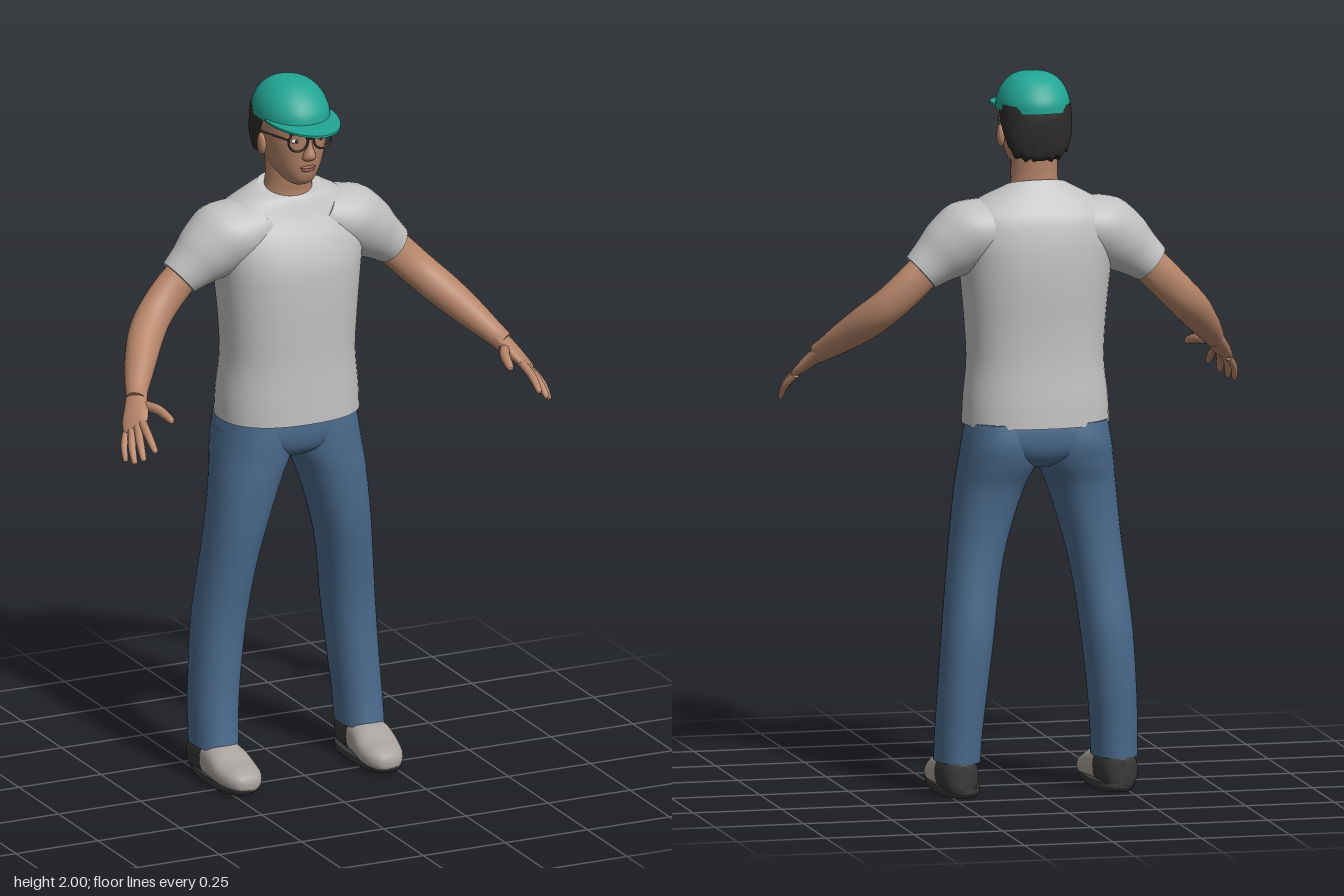
import * as THREE from 'three';

const mat = (name, color) => { const m = new THREE.MeshStandardMaterial({ color }); m.name = name; return m; };
const V = (x, y, z) => new THREE.Vector3(x, y, z);

// Smooth interpolation through a list of numeric rows
function smoothRows(rows, steps) {
  const out = [], last = rows.length - 1;
  for (let k = 0; k < last; k++) {
    const [a, b, c, d] = [k - 1, k, k + 1, k + 2].map(i => rows[Math.min(last, Math.max(0, i))]);
    for (let s = 0; s < steps; s++) {
      const t = s / steps;
      out.push(b.map((p, i) => p + 0.5 * t * (c[i] - a[i] + t * (2 * a[i] - 5 * p + 4 * c[i] - d[i] + t * (3 * (p - c[i]) + d[i] - a[i])))));
    }
  }
  out.push(rows[last]);
  return out;
}

// Closed loft; rows are [x, y, z, radius along u, radius along v, tilt]
function loft(rows, { u = V(1, 0, 0), v = V(0, 0, 1), p = 2, n = 32, steps = 5 } = {}) {
  const rings = smoothRows(rows.map(r => [...r, 0].slice(0, 6)), steps);
  const pos = [], idx = [];
  const first = V(...rings[0]), end = V(...rings[rings.length - 1]);
  const flip = u.clone().cross(v).dot(end.clone().sub(first)) < 0;
  const tri = (a, b, c) => flip ? idx.push(a, c, b) : idx.push(a, b, c);
  const bend = x => Math.sign(x) * Math.abs(x) ** (2 / p);
  const ring = r => {
    for (let i = 0; i < n; i++) {
      const t = i / n * Math.PI * 2, c = bend(Math.cos(t)), s = bend(Math.sin(t));
      const q = V(r[0], r[1], r[2]).addScaledVector(u, r[3] * c).addScaledVector(v, r[4] * s);
      pos.push(q.x, q.y + r[5] * s, q.z);
    }
  };
  rings.forEach(ring);
  for (let j = 0; j < rings.length - 1; j++) for (let i = 0; i < n; i++) {
    const a = j * n + i, b = j * n + (i + 1) % n;
    tri(a, b, b + n); tri(a, b + n, a + n);
  }
  // end caps with their own vertices
  [rings[0], rings[rings.length - 1]].forEach((r, e) => {
    const start = pos.length / 3;
    ring(r);
    pos.push(r[0], r[1], r[2]);
    for (let i = 0; i < n; i++) {
      const a = start + i, b = start + (i + 1) % n;
      e ? tri(a, b, start + n) : tri(b, a, start + n);
    }
  });
  const g = new THREE.BufferGeometry();
  g.setAttribute('position', new THREE.Float32BufferAttribute(pos, 3));
  g.setIndex(idx);
  g.computeVertexNormals();
  return g;
}

// Upright loft; rows are [y, x, half width, front z, back z, tilt]
const stack = (rows, opt) => loft(rows.map(([y, x, a, f, b, t = 0]) => [x, y, (f + b) / 2, a, (f - b) / 2, t]), opt);

export function createModel() {
  const group = new THREE.Group();
  const skin = mat('skin', 0xb58468), shirt = mat('shirt grey', 0xc2c2c2), denim = mat('denim blue', 0x4a6a8c);
  const teal = mat('cap teal', 0x22a594), hair = mat('hair black', 0x2e2c2b), shoe = mat('shoe grey', 0xa8a29e);
  const rubber = mat('sole black', 0x383838), white = mat('eye white', 0xddd5cc), lip = mat('lip', 0x99604f);
  const add = (name, geo, m, x = 0, y = 0, z = 0) => {
    const mesh = new THREE.Mesh(geo, m);
    mesh.name = name; mesh.position.set(x, y, z); group.add(mesh);
    return mesh;
  };
  const ball = (name, m, p, s) => add(name, new THREE.SphereGeometry(1, 20, 14), m, ...p).scale.set(...s);

  // T-shirt body with a scooped collar
  add('shirtBody', stack([
    [1.03, 0, .203, .037, -.268], [1.1, 0, .2, .036, -.265], [1.2, 0, .19, .035, -.258], [1.3, 0, .194, .038, -.258],
    [1.4, 0, .203, .04, -.263], [1.48, 0, .212, .036, -.264], [1.55, 0, .222, .014, -.258], [1.61, 0, .212, -.018, -.243],
    [1.65, 0, .165, -.036, -.215], [1.675, 0, .118, -.045, -.188, -.01], [1.688, 0, .085, -.05, -.17, -.02],
  ], { p: 2.35, n: 48 }), shirt);
  // Pelvis of the jeans
  add('jeansSeat', stack([
    [1.07, 0, .185, .005, -.245], [1.03, 0, .197, .003, -.258], [.98, 0, .2, .002, -.258], [.94, 0, .13, -.012, -.24], [.915, 0, .05, -.05, -.2],
  ], { p: 2.5, n: 40 }), denim);

  for (const s of [1, -1]) {
    const side = s > 0 ? 'left' : 'right';
    const flipX = rows => rows.map(r => [s * r[0], ...r.slice(1)]);
    const flipStack = rows => rows.map(r => [r[0], s * r[1], ...r.slice(2)]);

    add(side + 'Sleeve', loft(flipX([
      [.08, 1.6, -.12, .075, .1], [.165, 1.568, -.12, .1, .114], [.235, 1.523, -.12, .091, .095],
      [.285, 1.487, -.12, .071, .073], [.325, 1.456, -.122, .058, .06],
    ]), { u: V(s * .66, .75, 0) }), shirt);

    // Bare arm, palm, fingers and thumb
    add(side + 'Arm', loft(flipX([
      [.29, 1.485, -.122, .05, .05], [.35, 1.425, -.121, .051, .049], [.41, 1.365, -.102, .05, .049], [.46, 1.315, -.057, .049, .048],
      [.51, 1.262, .012, .041, .042], [.545, 1.223, .068, .032, .032], [.56, 1.205, .1, .029, .029],
    ]), { u: V(s * .7, .7, -.1).normalize(), v: V(s * -.45, .5, .74).normalize(), n: 24 }), skin);
    add(side + 'Palm', loft(flipX([
      [.548, 1.218, .075, .03, .026], [.567, 1.195, .11, .034, .022], [.583, 1.172, .14, .04, .019], [.597, 1.153, .166, .036, .013],
      [.602, 1.147, .174, .022, .007],
    ]), { u: V(s * .76, -.45, -.47).normalize(), v: V(s * .45, .85, -.1).normalize(), n: 20 }), skin);
    [
      ['Index', [.576, 1.168, .165], [.584, 1.143, .222], [.585, 1.112, .268], .0115],
      ['Middle', [.59, 1.157, .167], [.606, 1.123, .217], [.614, 1.088, .255], .0115],
      ['Ring', [.604, 1.146, .16], [.624, 1.11, .203], [.631, 1.075, .234], .011],
      ['Little', [.613, 1.139, .145], [.635, 1.106, .176], [.642, 1.072, .2], .0098],
      ['Thumb', [.555, 1.196, .115], [.528, 1.192, .17], [.516, 1.178, .228], .014],
    ].forEach(([name, a, b, c, r]) => {
      const tip = c.map((q, i) => q + (q - b[i]) * .1);
      const dir = V(c[0] - a[0], c[1] - a[1], c[2] - a[2]).normalize();
      dir.x *= s;
      const u = V(1, 0, 0).addScaledVector(dir, -dir.x).normalize();
      add(side + name, loft(flipX([[...a, r, r], [...b, r, r], [...c, r * .72, r * .72], [...tip, .001, .001]]),
        { u, v: dir.clone().cross(u), n: 12, steps: 4 }), skin);
    });

    // Trouser leg
    add(side + 'TrouserLeg', stack(flipStack([
      [1.04, .105, .09, -.002, -.25], [.98, .104, .102, .002, -.258], [.92, .11, .105, .002, -.245], [.85, .13, .094, 0, -.222],
      [.72, .158, .08, -.01, -.21], [.6, .178, .073, -.028, -.214], [.45, .196, .071, -.048, -.226], [.3, .21, .067, -.05, -.221],
      [.18, .219, .064, -.042, -.21], [.095, .222, .062, -.03, -.205],
    ]), { p: 2.25, n: 36 }), denim);

    // Shoe: grey upper, dark heel counter and sole
    const shoeOpt = { v: V(0, 1, 0), p: 2.4, n: 28 };
    add(side + 'ShoeUpper', loft(flipX([
      [.215, .03, .1, .012, .008], [.215, .034, .092, .034, .022], [.215, .039, .065, .053, .033], [.217, .044, .025, .062, .039],
      [.22, .055, -.02, .062, .05], [.222, .06, -.06, .058, .055], [.223, .061, -.095, .054, .055],
    ]), shoeOpt), shoe);
    add(side + 'ShoeHeel', loft(flipX([
      [.223, .0605, -.09, .0555, .0565], [.224, .06, -.13, .054, .057], [.225, .058, -.175, .05, .055], [.225, .057, -.198, .036, .05],
      [.225, .056, -.206, .014, .035],
    ]), shoeOpt), rubber);
    add(side + 'ShoeSole', stack(flipStack([
      [0, .219, .054, .08, -.195], [.012, .218, .063, .096, -.205], [.026, .218, .062, .1, -.205],
    ]), { p: 2.5, n: 36 }), rubber);

    // Ear, eye, brow and glasses
    ball(side + 'Ear', skin, [s * .09, 1.822, -.085], [.011, .032, .02]);
    ball(side + 'EyeWhite', white, [s * .037, 1.853, .021], [.015, .007, .006]);
    ball(side + 'Iris', hair, [s * .037, 1.853, .0245], [.006, .006, .004]);
    const brow = add(side + 'Brow', new THREE.BoxGeometry(.036, .007, .008), hair, s * .038, 1.878, .025);
    brow.rotation.set(0, s * .25, s * -.08);
    add(side + 'GlassesRim', new THREE.TorusGeometry(.028, .0032, 8, 28), hair, s * .037, 1.855, .036).rotation.y = s * .12;
    const arm = new THREE.LineCurve3(V(s * .064, 1.862, .033), V(s * .097, 1.86, -.085));
    add(side + 'GlassesArm', new THREE.TubeGeometry(arm, 1, .003, 6), hair);
  }
  add('glassesBridge', new THREE.BoxGeometry(.02, .005, .005), hair, 0, 1.86, .04);

  // Neck and head
  add('neck', stack([[1.62, 0, .085, -.04, -.19], [1.67, 0, .073, -.05, -.175], [1.71, 0, .065, -.045, -.165], [1.8, 0, .066, -.035, -.17]]), skin);
  add('head', stack([
    [1.712, 0, .02, -.012, -.05], [1.722, 0, .037, .003, -.08], [1.74, 0, .052, .013, -.12], [1.77, 0, .069, .02, -.16],
    [1.81, 0, .081, .026, -.182], [1.85, 0, .089, .03, -.194], [1.9, 0, .091, .034, -.2], [1.93, 0, .08, .015, -.18],
  ], { p: 2.25, n: 40 }), skin);
  add('nose', stack([
    [1.862, 0, .007, .034, .01], [1.835, 0, .01, .041, .01], [1.812, 0, .017, .05, .01], [1.8, 0, .019, .046, .01], [1.793, 0, .012, .034, .01],
  ], { n: 20 }), skin);
  ball('upperLip', lip, [0, 1.7715, .021], [.024, .0045, .006]);
  ball('lowerLip', lip, [0, 1.764, .02], [.02, .005, .006]);

  // Short hair below the cap, with a ragged hem
  const hairGeo = stack([
    [1.775, 0, .066, -.1, -.184, .012], [1.8, 0, .083, -.088, -.2, .022], [1.84, 0, .095, -.064, -.209, .015],
    [1.88, 0, .098, -.03, -.212], [1.915, 0, .096, -.02, -.208],
  ], { p: 2.4, n: 48 });
  const hp = hairGeo.attributes.position;
  for (let i = 0; i < hp.count; i++) if (hp.getY(i) < 1.795) hp.setY(i, hp.getY(i) + .006 * Math.sin(hp.getX(i) * 260));
  hairGeo.computeVertexNormals();
  add('hair', hairGeo, hair);

  // Cap crown and curved brim
  add('capCrown', stack([
    [1.897, 0, .1, .042, -.219], [1.925, 0, .098, .036, -.217], [1.955, 0, .087, .016, -.2], [1.98, 0, .067, -.013, -.175],
    [1.994, 0, .042, -.043, -.145], [2, 0, .004, -.085, -.1],
  ], { p: 2.15, n: 44 }), teal);
  const brimShape = new THREE.Shape();
  brimShape.absellipse(0, 0, .101, .17, 0, Math.PI, false);
  const outer = new THREE.ExtrudeGeometry(brimShape, { depth: .006, bevelEnabled: false, curveSegments: 40 });
  outer.rotateX(Math.PI / 2);
  const bp = outer.attributes.position;
  for (let i = 0; i < bp.count; i++) bp.setY(i, bp.getY(i) - .05 * bp.getZ(i));
  outer.computeVertexNormals();
  add('capBrim', outer, teal, 0, 1.905, -.042);
  return group;
}
